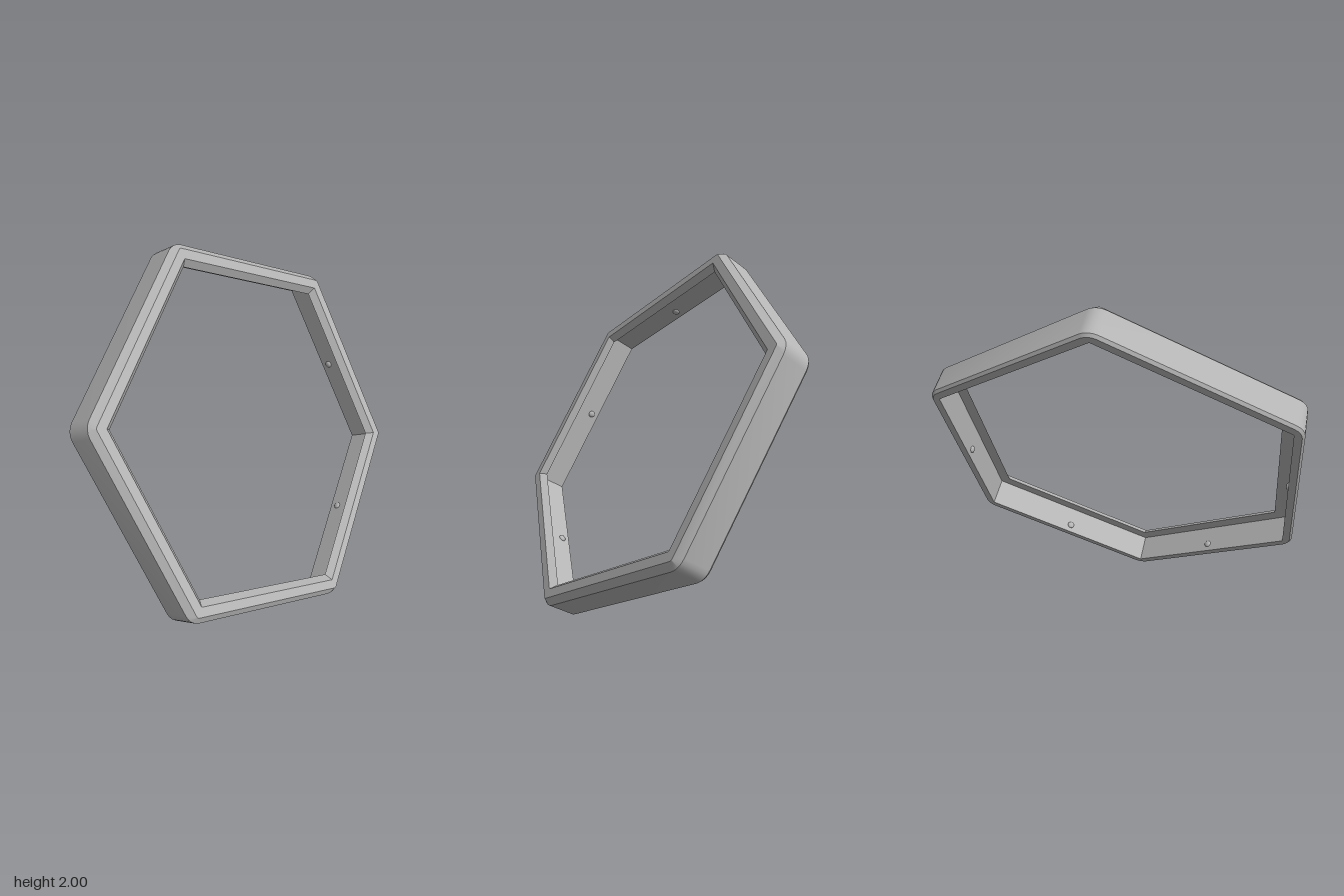
import * as THREE from 'three';
import { toCreasedNormals } from 'three/addons/utils/BufferGeometryUtils.js';

// Cross-section of the rail: [distance from centre to flat, depth, corner radius]
const PROFILE = [
  [0.96, -0.1, 0.08],    // back outer chamfer
  [0.973, -0.085, 0.094],
  [0.973, 0.07, 0.094],  // outer wall
  [0.94, 0.104, 0.02],   // front face
  [0.889, 0.104, 0],
  [0.857, 0.067, 0],     // inner bevel of the front lip
  [0.92, 0.065, 0],      // back of the lip
  [0.92, -0.1, 0],       // inner wall
];
const STEPS = 4;

// Hexagon with rounded corners, one loop for each profile point
function hexLoop([flat, depth, radius]) {
  const points = [];
  for (let k = 0; k < 6; k++) {
    const corner = Math.PI / 6 + k * Math.PI / 3;
    const centre = (flat - radius) / Math.cos(Math.PI / 6);
    for (let s = 0; s <= STEPS; s++) {
      const a = corner + (s / STEPS - 0.5) * Math.PI / 3;
      points.push(new THREE.Vector3(
        centre * Math.cos(corner) + radius * Math.cos(a),
        centre * Math.sin(corner) + radius * Math.sin(a),
        depth));
    }
  }
  return points;
}

function ringGeometry() {
  const loops = PROFILE.map(hexLoop);
  const positions = [];
  const tri = (a, b, c) => {
    if (new THREE.Triangle(a, b, c).getArea() < 1e-8) return;
    for (const p of [a, b, c]) positions.push(p.x, p.y, p.z);
  };
  loops.forEach((loop, i) => {
    const next = loops[(i + 1) % loops.length];
    for (let j = 0; j < loop.length; j++) {
      const j2 = (j + 1) % loop.length;
      tri(loop[j], loop[j2], next[j2]);
      tri(loop[j], next[j2], next[j]);
    }
  });
  const geometry = new THREE.BufferGeometry();
  geometry.setAttribute('position', new THREE.Float32BufferAttribute(positions, 3));
  return toCreasedNormals(geometry, THREE.MathUtils.degToRad(25));
}

export function createModel() {
  const metal = new THREE.MeshStandardMaterial({ color: 0xb4b4b4 });
  metal.name = 'greyMetal';

  const frame = new THREE.Group();
  frame.name = 'tiltedFrame';
  const ring = new THREE.Mesh(ringGeometry(), metal);
  ring.name = 'hexagonRing';
  frame.add(ring);

  // Domed stud in the middle of each inner wall, pointing at the centre
  const dome = new THREE.SphereGeometry(0.021, 20, 8, 0, Math.PI * 2, 0, Math.PI / 2);
  dome.scale(1, 0.6, 1);
  for (let k = 0; k < 6; k++) {
    const a = k * Math.PI / 3;
    const stud = new THREE.Mesh(dome, metal);
    stud.name = 'innerStud' + (k + 1);
    stud.position.set(0.92 * Math.cos(a), 0.92 * Math.sin(a), -0.052);
    stud.rotation.z = a + Math.PI / 2;
    frame.add(stud);
  }

  // Lean the whole frame back
  frame.rotation.x = -Math.PI / 6;
  frame.position.y = 1.001;

  const model = new THREE.Group();
  model.name = 'hexagonFrame';
  model.add(frame);
  return model;
}
